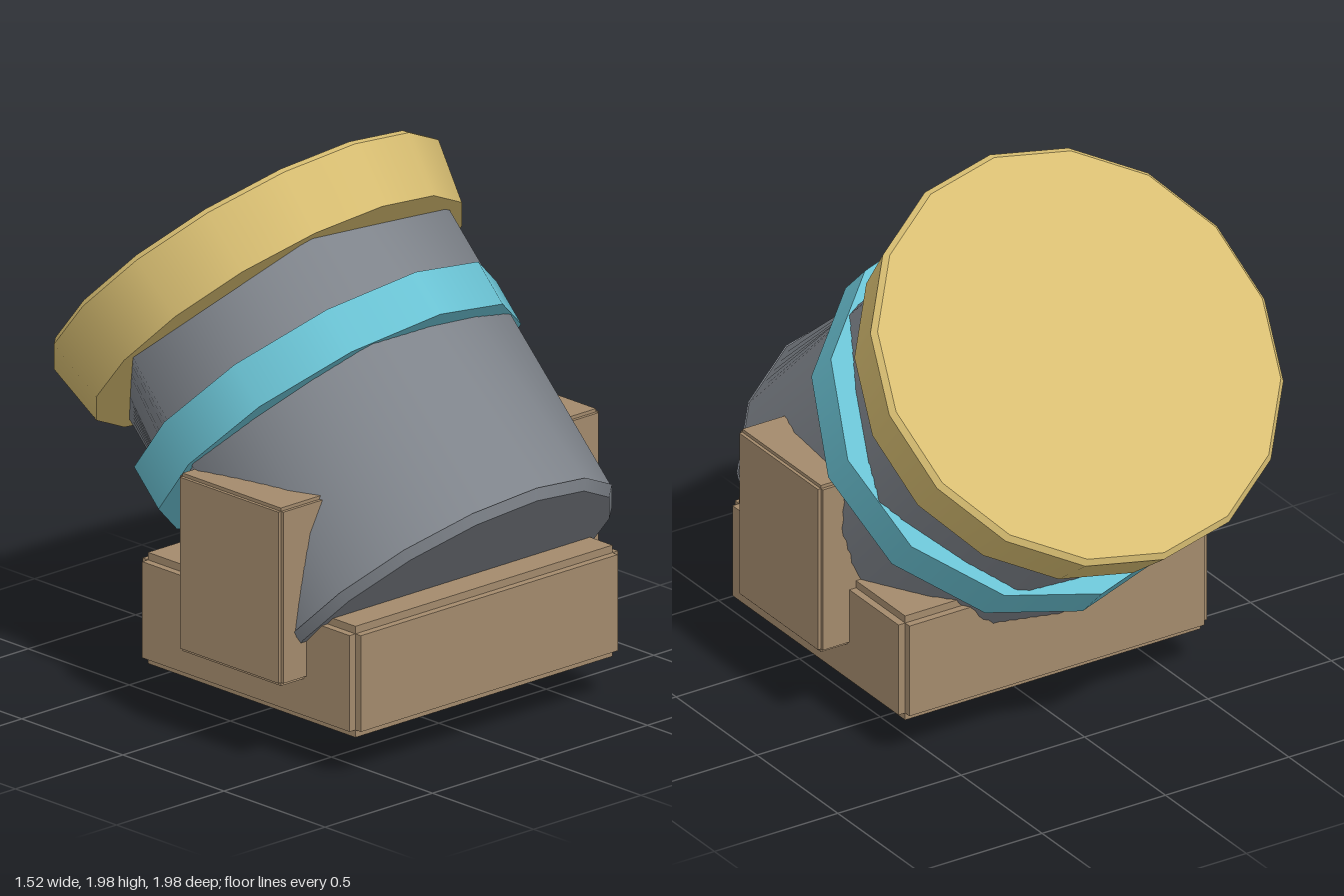
import * as THREE from 'three';

const flat = (name, color) => {
  const m = new THREE.MeshStandardMaterial({ color });
  m.name = name;
  return m;
};

// Distance from the centre to a polygon's edge at angle a; corners are sorted angles
function polygonRadius(a, corners, radius) {
  const full = Math.PI * 2;
  for (let i = 0; i < corners.length; i++) {
    const start = corners[i];
    const end = i + 1 < corners.length ? corners[i + 1] : corners[0] + full;
    const t = (((a - start) % full) + full) % full;
    if (t <= end - start) {
      const half = (end - start) / 2;
      return radius * Math.cos(half) / Math.cos(t - half);
    }
  }
  return radius;
}

export function createModel() {
  const gold = flat('gold', 0xd8be72);
  const grey = flat('grey', 0x7f848b);
  const cyan = flat('cyan', 0x6ac2d3);
  const brown = flat('brown', 0xa38a6c);

  const model = new THREE.Group();
  model.name = 'tiltedBarrelOnStand';

  // Everything round shares one axis, leaning back 45 degrees
  const tilted = new THREE.Group();
  tilted.name = 'tiltedBarrel';
  tilted.position.set(0, 0.502, 0.502);
  tilted.rotation.x = -Math.PI / 4;
  model.add(tilted);

  const disc = (name, material, from, to, rFrom, rTo, sides) => {
    const mesh = new THREE.Mesh(new THREE.CylinderGeometry(rTo, rFrom, to - from, sides), material);
    mesh.position.y = (from + to) / 2;
    mesh.name = name;
    tilted.add(mesh);
    return mesh;
  };

  // Barrel: regular at the foot, a coarse uneven polygon at the head
  const barrel = disc('barrel', grey, 0.004, 1.14, 0.68, 0.68, 96);
  const foot = Array.from({ length: 16 }, (_, i) => i * Math.PI / 8);
  const head = [-90, -23.6, 44, 105, 155, 205].map(THREE.MathUtils.degToRad);
  const p = barrel.geometry.attributes.position;
  for (let i = 0; i < p.count; i++) {
    const x = p.getX(i), z = p.getZ(i);
    if (Math.hypot(x, z) < 0.01) continue;
    const a = Math.atan2(x, z);
    const r = polygonRadius(a, p.getY(i) > 0 ? head : foot, 0.68);
    p.setX(i, r * Math.sin(a));
    p.setZ(i, r * Math.cos(a));
  }

  // Bevelled plate closing the low end
  disc('endPlate', grey, -0.03, 0.004, 0.655, 0.685, 16);

  // Band around the middle
  disc('band', cyan, 0.695, 0.866, 0.704, 0.704, 12);

  // Wide lid with a small bevel on top
  disc('lid', gold, 1.12, 1.35, 0.722, 0.76, 16);
  disc('lidBevel', gold, 1.35, 1.37, 0.76, 0.742, 16);

  // Block with stepped edges: three crossed slabs, each full size along one axis
  const steppedBlock = (name, size, centre, step) => {
    const block = new THREE.Group();
    block.name = name;
    for (let axis = 0; axis < 3; axis++) {
      const dims = size.map((d, i) => (i === axis ? d : d - 2 * step));
      const slab = new THREE.Mesh(new THREE.BoxGeometry(...dims), brown);
      slab.name = name + 'Slab';
      block.add(slab);
    }
    block.position.set(...centre);
    model.add(block);
  };

  steppedBlock('base', [1.25, 0.4, 1.08], [0, 0.37, 0.21], 0.027);
  for (const [name, side] of [['leftBracket', 1], ['rightBracket', -1]]) {
    steppedBlock(name, [0.24, 0.64, 0.51], [side * 0.625, 0.65, 0.255], 0.012);
  }

  return model;
}
